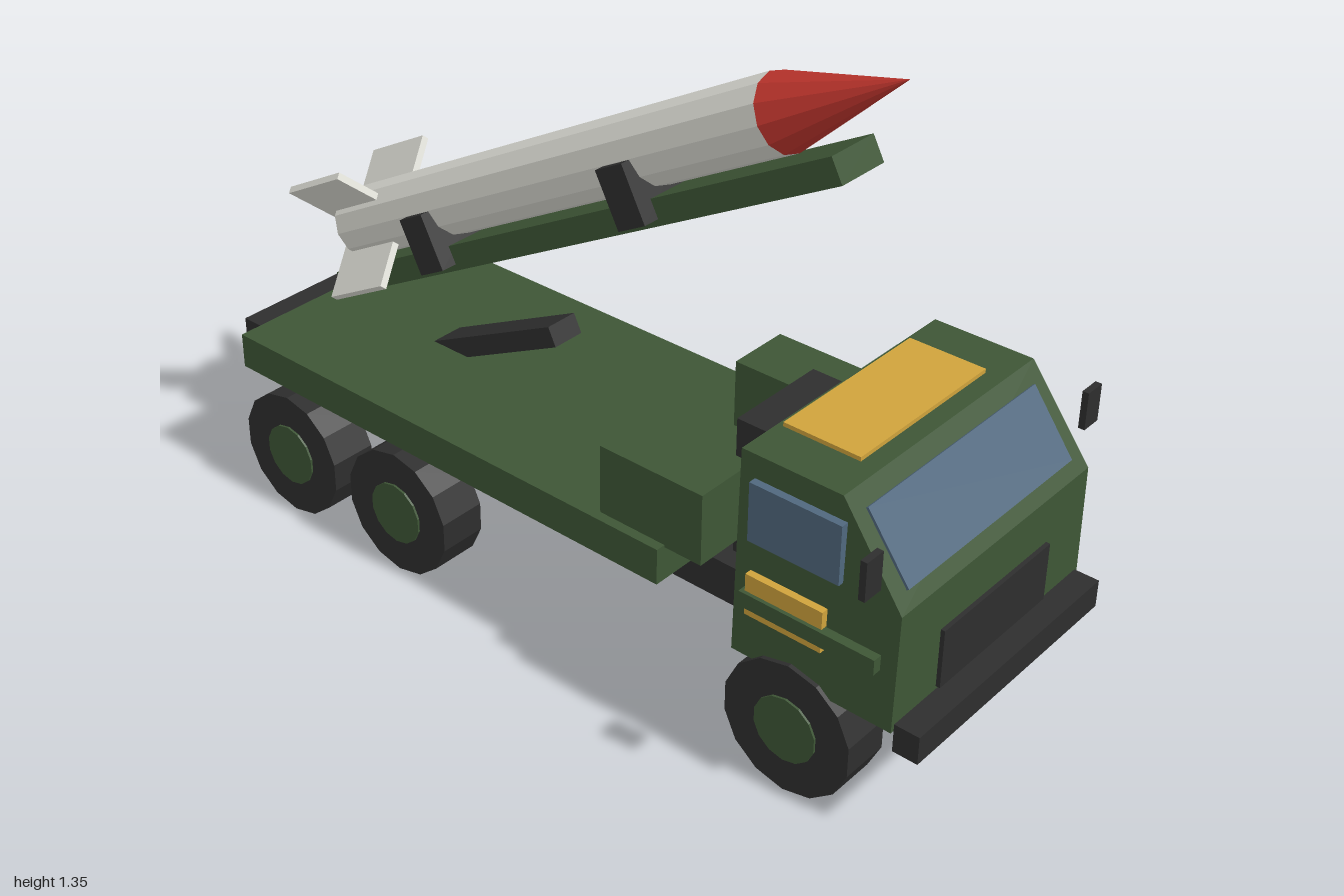
import * as THREE from 'three';

const paint = (name, color) => Object.assign(new THREE.MeshStandardMaterial({ color, flatShading: true }), { name });

export function createModel() {
  const green = paint('army green', 0x3e5636);
  const dark = paint('dark rubber', 0x2e2e2e);
  const white = paint('off white', 0xdadad2);
  const red = paint('red', 0xbc342c);
  const yellow = paint('yellow', 0xcfa33c);
  const glass = paint('blue glass', 0x50687e);

  const truck = new THREE.Group();
  truck.name = 'missileTruck';

  const add = (parent, name, geometry, material, x = 0, y = 0, z = 0) => {
    const mesh = new THREE.Mesh(geometry, material);
    mesh.name = name;
    mesh.position.set(x, y, z);
    parent.add(mesh);
    return mesh;
  };
  // Box given by its limits on each axis
  const box = (name, material, [x0, x1], [y0, y1], [z0, z1], parent = truck) =>
    add(parent, name, new THREE.BoxGeometry(x1 - x0, y1 - y0, z1 - z0), material,
      (x0 + x1) / 2, (y0 + y1) / 2, (z0 + z1) / 2);
  // The same box on both sides
  const pair = (name, material, x, y, [z0, z1]) => {
    box(name + 'Left', material, x, y, [z0, z1]);
    box(name + 'Right', material, x, y, [-z1, -z0]);
  };

  // Chassis, deck and bumper
  box('chassis', dark, [-1, 0.95], [0.213, 0.303], [-0.165, 0.165]);
  box('deck', green, [-0.835, 0.385], [0.303, 0.385], [-0.305, 0.305]);
  box('bumper', dark, [0.945, 1], [0.213, 0.275], [-0.307, 0.307]);
  pair('tailLight', red, [-0.845, -0.83], [0.318, 0.348], [0.21, 0.272]);
  pair('equipmentBox', green, [0.22, 0.475], [0.38, 0.54], [0.135, 0.283]);
  box('engineBox', dark, [0.425, 0.498], [0.3, 0.612], [-0.12, 0.12]);

  // Cab: side profile extruded across, slightly wider toward the bottom
  const profile = new THREE.Shape([[0.58, 0.26], [0.945, 0.26], [0.945, 0.515], [0.805, 0.705], [0.58, 0.705]]
    .map(([x, y]) => new THREE.Vector2(x, y)));
  const cabGeometry = new THREE.ExtrudeGeometry(profile, { depth: 2, bevelEnabled: false });
  const p = cabGeometry.attributes.position;
  for (let i = 0; i < p.count; i++) {
    const half = 0.305 + (0.705 - p.getY(i)) * 0.025;
    p.setZ(i, (p.getZ(i) - 1) * half);
  }
  cabGeometry.computeVertexNormals();
  add(truck, 'cab', cabGeometry, green);

  // Cab details
  box('roofPanel', yellow, [0.592, 0.765], [0.705, 0.714], [-0.2, 0.2]);
  const windshield = add(truck, 'windshield', new THREE.BoxGeometry(0.162, 0.009, 0.54), glass, 0.878, 0.608, 0);
  windshield.rotation.z = -Math.atan2(0.19, 0.14);
  box('grille', dark, [0.945, 0.954], [0.282, 0.412], [-0.177, 0.177]);
  pair('sideWindow', glass, [0.613, 0.818], [0.527, 0.655], [0.303, 0.323]);
  pair('wideStripe', yellow, [0.615, 0.79], [0.418, 0.456], [0.308, 0.327]);
  pair('thinStripe', yellow, [0.615, 0.79], [0.365, 0.38], [0.308, 0.327]);
  pair('sideRail', green, [0.605, 0.91], [0.383, 0.416], [0.308, 0.333]);
  pair('mirror', dark, [0.9, 0.914], [0.574, 0.657], [0.335, 0.383]);

  // Wheels with green hubs
  for (const x of [-0.67, -0.33, 0.72]) {
    for (const side of [1, -1]) {
      const wheel = new THREE.Group();
      wheel.name = 'wheel';
      wheel.position.set(x, 0.148, side * 0.27);
      wheel.rotation.x = Math.PI / 2;
      add(wheel, 'tire', new THREE.CylinderGeometry(0.148, 0.148, 0.11, 14), dark);
      add(wheel, 'hub', new THREE.CylinderGeometry(0.072, 0.072, 0.12, 14), green);
      truck.add(wheel);
    }
  }

  // Lifting strut
  const strut = add(truck, 'strut', new THREE.BoxGeometry(0.46, 0.046, 0.08), dark, -0.339, 0.435, 0);
  strut.rotation.z = 0.457;

  // Launcher: local x runs along the rail, local y away from it
  const launcher = new THREE.Group();
  launcher.name = 'launcher';
  launcher.position.set(-0.0925, 0.8025, 0);
  launcher.rotation.z = THREE.MathUtils.degToRad(28.3);
  truck.add(launcher);
  box('rail', green, [-0.767, 0.767], [-0.028, 0.028], [-0.063, 0.063], launcher);
  for (const x of [-0.383, 0.257])
    box('clamp', dark, [x - 0.038, x + 0.038], [-0.014, 0.114], [-0.102, 0.102], launcher);

  // Missile body, nose and crossed fins
  const missile = new THREE.Group();
  missile.name = 'missile';
  missile.position.set(-0.682, 0.115, 0);
  launcher.add(missile);
  const body = add(missile, 'body', new THREE.CylinderGeometry(0.08, 0.08, 1.322, 12), white, 0.661);
  const nose = add(missile, 'nose', new THREE.ConeGeometry(0.08, 0.299, 12), red, 1.4715);
  body.rotation.z = nose.rotation.z = -Math.PI / 2;
  for (let i = 0; i < 4; i++) {
    const fin = new THREE.Group();
    fin.name = 'fin';
    fin.rotation.x = Math.PI / 4 + i * Math.PI / 2;
    box('finBlade', white, [-0.035, 0.155], [0.05, 0.185], [-0.008, 0.008], fin);
    missile.add(fin);
  }

  return truck;
}
